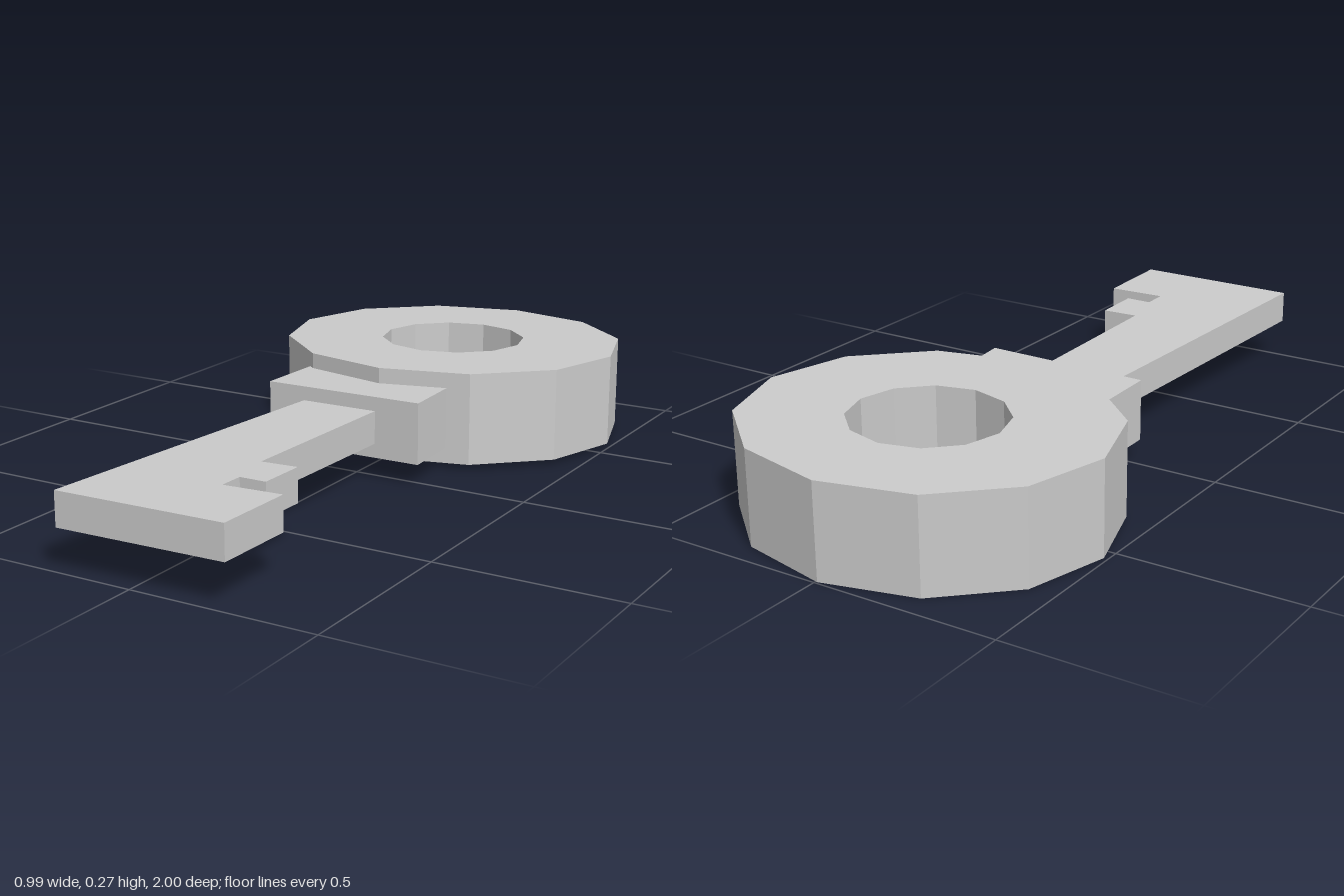
import * as THREE from 'three';

const material = new THREE.MeshStandardMaterial({ color: 0xcccccc, flatShading: true });

// Extrude a plan outline, given as [x, z] points, evenly about the mid-plane
function slab(name, outline, thickness, hole) {
  const toVectors = (points) => points.map(([x, z]) => new THREE.Vector2(x, -z));
  const shape = new THREE.Shape(toVectors(outline));
  if (hole) shape.holes.push(new THREE.Path(toVectors(hole)));
  const geometry = new THREE.ExtrudeGeometry(shape, { depth: thickness, bevelEnabled: false });
  geometry.translate(0, 0, -thickness / 2).rotateX(-Math.PI / 2);
  const mesh = new THREE.Mesh(geometry, material);
  mesh.name = name;
  return mesh;
}

// Slightly turned twelve-sided oval in plan, counter-clockwise from above
function oval(cx, cz, rx, rz, turn) {
  return Array.from({ length: 12 }, (_, i) => {
    const a = (-i * Math.PI) / 6;
    const x = rx * Math.cos(a), z = rz * Math.sin(a);
    return [
      cx + x * Math.cos(turn) + z * Math.sin(turn),
      cz - x * Math.sin(turn) + z * Math.cos(turn),
    ];
  });
}

export function createModel() {
  const model = new THREE.Group();
  model.name = 'key';

  const body = new THREE.Group();
  body.name = 'keyBody';
  model.add(body);

  // Ring handle with a round opening
  body.add(slab('ringHandle',
    oval(0, -0.552, 0.494, 0.446, 0.015), 0.254,
    oval(0, -0.552, 0.208, 0.2, 0.005)));

  // Collar, sunk into the ring
  body.add(slab('collar',
    [[-0.26, -0.2], [0.187, -0.2], [0.203, 0.028], [-0.26, 0.028]], 0.168));

  // Flared shaft with two teeth on one side
  body.add(slab('toothedShaft', [
    [-0.147, -0.03], [0.072, -0.03], [0.072, 0.57], [0.172, 0.563],
    [0.172, 0.7], [0.099, 0.7], [0.099, 0.77], [0.259, 0.76],
    [0.259, 0.992], [-0.206, 1],
  ], 0.09));

  // The whole key rests with a very slight tilt
  body.position.y = 0.142;
  body.rotation.set(-0.0145, 0, 0.007);
  return model;
}
